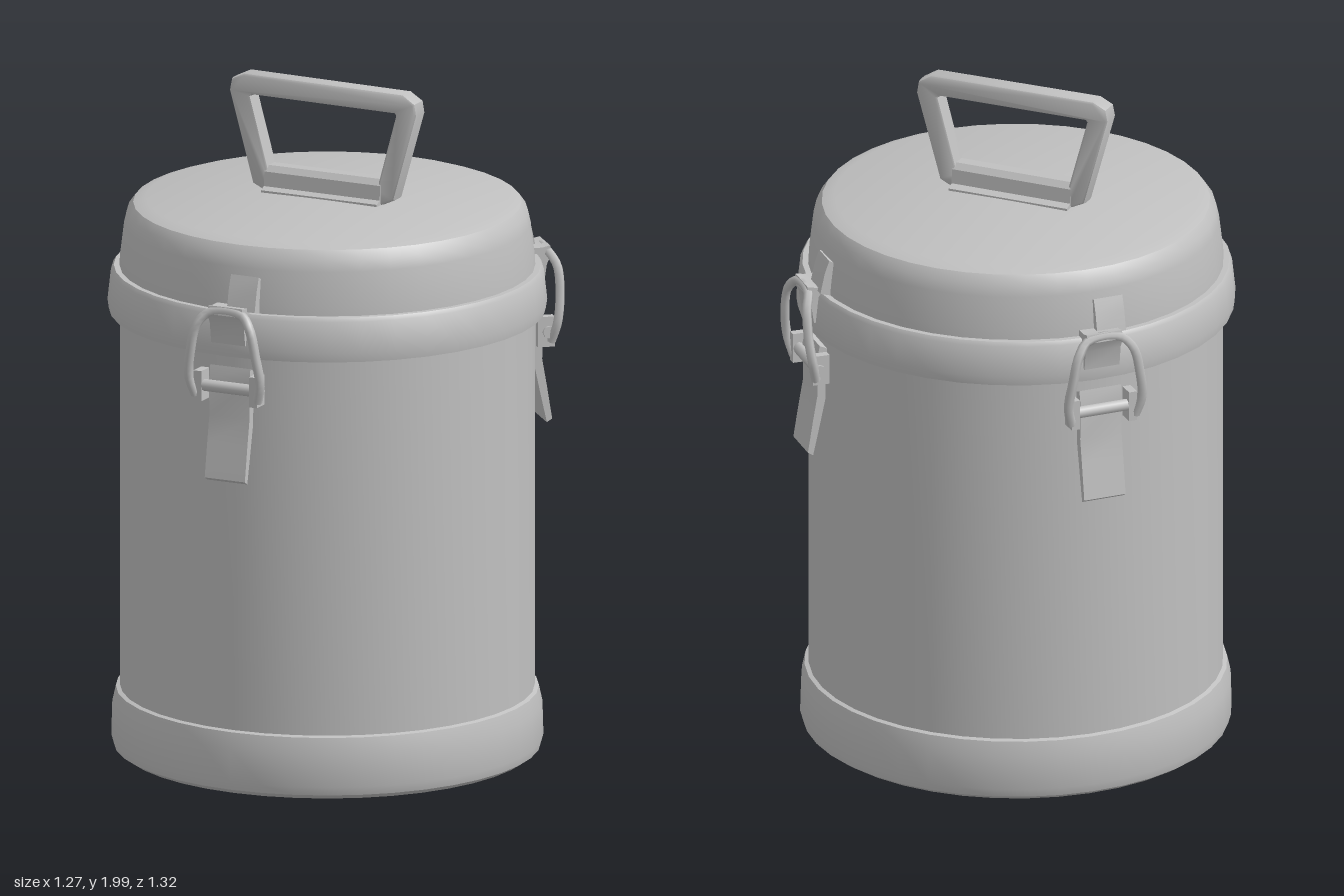
import * as THREE from 'three';
import { toCreasedNormals } from 'three/addons/utils/BufferGeometryUtils.js';

const steel = new THREE.MeshStandardMaterial({ color: 0xc0c0c0 });
steel.name = 'steel';

function part(name, geometry, parent) {
  const mesh = new THREE.Mesh(geometry, steel);
  mesh.name = name;
  parent.add(mesh);
  return mesh;
}

const vec = (pairs) => pairs.map(([x, y]) => new THREE.Vector2(x, y));

// Turned part with crisp edges, profile given as [radius, height]
function turned(name, profile, parent) {
  return part(name, toCreasedNormals(new THREE.LatheGeometry(vec(profile), 40), 0.6), parent);
}

// Side profile given as [outward, height], extruded along x and centred
function crossBar(name, profile, width, parent) {
  const g = new THREE.ExtrudeGeometry(new THREE.Shape(vec(profile)), { depth: width, bevelEnabled: false });
  g.translate(0, 0, -width / 2);
  g.rotateY(-Math.PI / 2);
  return part(name, toCreasedNormals(g, 0.6), parent);
}

// Toggle latch: lever, pivot, wire loop and catch, facing +z
function latch(name, angle) {
  const g = new THREE.Group();
  g.name = name;
  g.rotation.y = angle;

  // lever plate hugging the wall, kicked out at its lower end
  crossBar('latchLever', [
    [0.6, 1.28], [0.605, 1.12], [0.622, 1.04], [0.642, 0.95],
    [0.658, 0.96], [0.642, 1.06], [0.628, 1.14], [0.63, 1.25], [0.622, 1.29],
  ], 0.13, g);

  // pivot with an ear at each end
  const pivot = part('latchPivot', new THREE.CylinderGeometry(0.018, 0.018, 0.22, 8), g);
  pivot.rotation.z = Math.PI / 2;
  pivot.position.set(0, 1.23, 0.636);
  for (const s of [-1, 1]) {
    const ear = part('latchEar', new THREE.BoxGeometry(0.025, 0.09, 0.05), g);
    ear.position.set(s * 0.09, 1.23, 0.63);
  }

  // wire loop reaching over the clamp ring
  const half = [[0.1, 1.2, 0.645], [0.115, 1.26, 0.66], [0.105, 1.34, 0.67], [0.085, 1.42, 0.668], [0.05, 1.455, 0.652]];
  const pts = [...half, ...half.slice().reverse().map(([x, y, z]) => [-x, y, z])]
    .map((p) => new THREE.Vector3(...p));
  part('latchLoop', new THREE.TubeGeometry(new THREE.CatmullRomCurve3(pts), 36, 0.014, 6), g);

  // catch on the ring, with a small tab lying on the lid
  crossBar('latchCatch', [
    [0.6, 1.36], [0.636, 1.36], [0.645, 1.42], [0.66, 1.45], [0.655, 1.475], [0.63, 1.47], [0.59, 1.47],
  ], 0.11, g);
  const tab = crossBar('latchTab', [
    [0.59, 1.45], [0.625, 1.46], [0.612, 1.52], [0.598, 1.56], [0.58, 1.55],
  ], 0.09, g);
  tab.position.x = 0.035;
  return g;
}

export function createModel() {
  const model = new THREE.Group();
  model.name = 'canister';
  const can = new THREE.Group();
  can.name = 'canisterBody';
  can.position.z = -0.025;
  model.add(can);

  // container, bottom to top
  turned('baseBand', [[0, 0.01], [0.595, 0.01], [0.618, 0.025], [0.625, 0.05], [0.622, 0.15], [0.612, 0.195], [0.597, 0.2]], can);
  turned('wall', [[0.6, 0.19], [0.6, 1.34]], can);
  turned('clampRing', [[0.595, 1.32], [0.632, 1.322], [0.636, 1.35], [0.626, 1.44], [0.618, 1.452], [0.59, 1.452]], can);
  turned('lid', [[0.602, 1.44], [0.6, 1.48], [0.588, 1.58], [0.58, 1.615], [0.562, 1.64], [0.525, 1.653], [0, 1.66]], can);

  // trapezoid grip with rounded upper corners
  const grip = new THREE.Shape(vec([
    [-0.18, 1.66], [0.18, 1.66], [0.222, 1.68], [0.295, 1.935], [0.29, 1.965],
    [0.255, 1.987], [-0.255, 1.992], [-0.29, 1.975], [-0.296, 1.945], [-0.222, 1.68],
  ]));
  grip.holes.push(new THREE.Path(vec([
    [-0.18, 1.7], [-0.245, 1.935], [-0.235, 1.945], [0.235, 1.942], [0.243, 1.93], [0.18, 1.7],
  ])));
  const gripGeo = new THREE.ExtrudeGeometry(grip, {
    depth: 0.034, bevelEnabled: true, bevelThickness: 0.014, bevelSize: 0.008, bevelSegments: 2,
  });
  gripGeo.translate(0, 0, -0.017);
  part('handleGrip', toCreasedNormals(gripGeo, 0.7), can);

  // folded sleeve holding the grip to the lid
  crossBar('handleSleeve', [
    [-0.058, 1.65], [0.055, 1.65], [0.055, 1.664], [0.036, 1.672], [0.033, 1.715], [0.018, 1.732],
    [-0.018, 1.732], [-0.033, 1.715], [-0.036, 1.672], [-0.058, 1.664],
  ], 0.375, can);

  // one latch in front, two towards the back
  can.add(latch('frontLatch', 0), latch('leftLatch', 2.32), latch('rightLatch', -2.32));
  return model;
}
